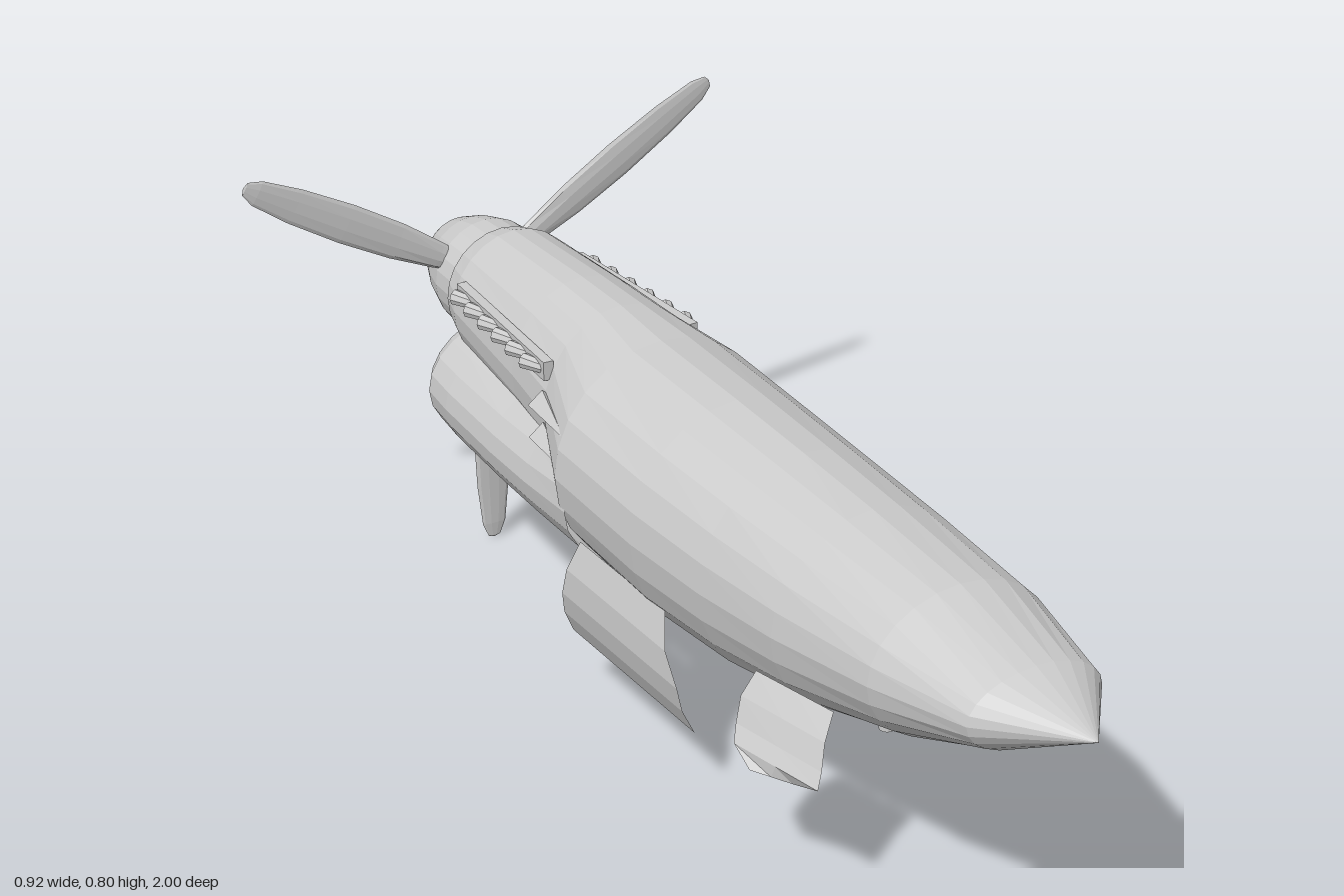
import * as THREE from 'three';

const grey = new THREE.MeshStandardMaterial({ color: 0xcccccc, flatShading: true });
const greySheet = new THREE.MeshStandardMaterial({ color: 0xcccccc, flatShading: true, side: THREE.DoubleSide });

// Skin over elliptical rings listed from +z to -z: [z, top, bottom, halfWidth]
function loft(rings, sides = 24) {
  const pos = [], idx = [];
  rings.forEach(([z, top, bottom, w], i) => {
    for (let j = 0; j <= sides; j++) {
      const a = (j / sides) * Math.PI * 2;
      pos.push(w * Math.cos(a), (top + bottom) / 2 + ((top - bottom) / 2) * Math.sin(a), z);
      if (i < rings.length - 1 && j < sides) {
        const p = i * (sides + 1) + j, q = p + sides + 1;
        idx.push(p, q, p + 1, p + 1, q, q + 1);
      }
    }
  });
  const g = new THREE.BufferGeometry();
  g.setAttribute('position', new THREE.Float32BufferAttribute(pos, 3));
  g.setIndex(idx);
  g.computeVertexNormals();
  return g;
}

// Thin curved sheet through rows of [x, y, rearZ, frontZ]; flare shifts the front edge outwards
function sheet(rows, side, flare = 0) {
  const g = new THREE.PlaneGeometry(1, 1, 2, rows.length - 1);
  const p = g.attributes.position;
  for (let i = 0; i < p.count; i++) {
    const [x, y, z0, z1] = rows[Math.floor(i / 3)], t = (i % 3) / 2;
    p.setXYZ(i, side * (x + flare * (t - 0.5)), y, z0 + (z1 - z0) * t);
  }
  g.computeVertexNormals();
  return g;
}

function add(parent, name, geometry, x = 0, y = 0, z = 0, material = grey) {
  const m = new THREE.Mesh(geometry, material);
  m.name = name;
  m.position.set(x, y, z);
  parent.add(m);
  return m;
}

export function createModel() {
  const model = new THREE.Group();
  model.name = 'aircraftBody';

  // Fuselage, from the pointed tail to the narrow upper nose
  add(model, 'fuselage', loft([
    [1, 0.51, 0.51, 0], [0.84, 0.56, 0.425, 0.122], [0.64, 0.603, 0.345, 0.165],
    [0.4, 0.62, 0.275, 0.185], [0.2, 0.63, 0.237, 0.195], [0, 0.638, 0.224, 0.202],
    [-0.24, 0.645, 0.243, 0.205], [-0.37, 0.656, 0.33, 0.152], [-0.5, 0.657, 0.36, 0.14],
    [-0.74, 0.651, 0.4, 0.122], [-0.785, 0.638, 0.42, 0.11], [-0.785, 0.53, 0.53, 0],
  ]));

  // Lower cowling: outer skin, rounded lip and inner duct
  add(model, 'lowerCowling', loft([
    [-0.22, 0.53, 0.245, 0.199], [-0.37, 0.505, 0.248, 0.192], [-0.5, 0.498, 0.251, 0.187],
    [-0.68, 0.496, 0.255, 0.176], [-0.755, 0.495, 0.26, 0.168], [-0.78, 0.488, 0.268, 0.152],
    [-0.765, 0.478, 0.275, 0.145], [-0.55, 0.47, 0.275, 0.145], [-0.55, 0.37, 0.37, 0],
  ]), 0, 0, 0, greySheet);

  // Framework inside the intake
  const intake = new THREE.Group();
  intake.name = 'intakeFrame';
  model.add(intake);
  add(intake, 'intakeCrossbar', new THREE.BoxGeometry(0.28, 0.02, 0.03), 0, 0.37, -0.68);
  for (const x of [-0.05, 0.05]) {
    add(intake, 'intakePost', new THREE.BoxGeometry(0.02, 0.16, 0.03), x, 0.35, -0.68);
  }

  // Spinner and three blades
  const propeller = new THREE.Group();
  propeller.name = 'propeller';
  propeller.position.set(0, 0.53, -0.845);
  model.add(propeller);
  const nose = [[0.06, 0.104], [0, 0.101], [-0.05, 0.088], [-0.1, 0.067], [-0.135, 0.042], [-0.15, 0.02], [-0.155, 0]];
  add(propeller, 'spinner', loft([[0.06, 0, 0, 0], ...nose.map(([z, r]) => [z, r, -r, r])]));
  const bladeRings = [
    [0.53, 0, 0, 0], [0.526, 0.002, -0.002, 0.012], [0.5, 0.004, -0.004, 0.023],
    [0.42, 0.005, -0.005, 0.032], [0.31, 0.007, -0.007, 0.036], [0.2, 0.008, -0.008, 0.033],
    [0.11, 0.01, -0.01, 0.024], [0.06, 0.012, -0.012, 0.016],
  ];
  for (let i = 0; i < 3; i++) {
    const arm = new THREE.Group();
    arm.rotation.z = (i * 2 * Math.PI) / 3;
    propeller.add(arm);
    add(arm, 'blade', loft(bladeRings, 10)).rotation.x = Math.PI / 2;
  }

  for (const s of [-1, 1]) {
    const label = s > 0 ? 'left' : 'right';

    // Exhaust fairing with six stubs
    const exhaust = new THREE.Group();
    exhaust.name = label + 'Exhaust';
    exhaust.position.set(s * 0.128, 0.57, -0.545);
    exhaust.rotation.y = s * 0.07;
    model.add(exhaust);
    add(exhaust, 'exhaustPlate', new THREE.BoxGeometry(0.018, 0.034, 0.35));
    for (let i = 0; i < 6; i++) {
      const stub = add(exhaust, 'exhaustStub', new THREE.CylinderGeometry(0.011, 0.014, 0.045, 8),
        s * 0.01, 0, -0.14 + i * 0.056);
      stub.rotation.set(Math.PI / 2, 0, s * 0.45);
    }

    // Small tapered fairings behind the cowling
    for (const y of [0.455, 0.515]) {
      const fairing = add(model, label + 'CowlFairing',
        new THREE.ConeGeometry(0.025, 0.14, 4), s * 0.172, y, -0.3);
      fairing.rotation.set(Math.PI / 2, 0, s * -0.25);
    }

    // Main and tail undercarriage doors
    add(model, label + 'MainDoor', sheet([
      [0.17, 0.325, 0.055, -0.22], [0.188, 0.27, 0.085, -0.237], [0.19, 0.22, 0.125, -0.25],
      [0.18, 0.175, 0.125, -0.262], [0.157, 0.128, 0.125, -0.273],
    ], s), 0, 0, 0, greySheet);
    add(model, label + 'TailDoor', sheet([
      [0.15, 0.35, 0.5, 0.33], [0.175, 0.31, 0.515, 0.325], [0.19, 0.27, 0.53, 0.335],
      [0.203, 0.245, 0.54, 0.35], [0.205, 0.222, 0.47, 0.4],
    ], s, 0.035), 0, 0, 0, greySheet);
  }

  // Tail wheel post
  add(model, 'tailPost', new THREE.CylinderGeometry(0.013, 0.013, 0.06, 12), 0, 0.284, 0.45);

  return model;
}
